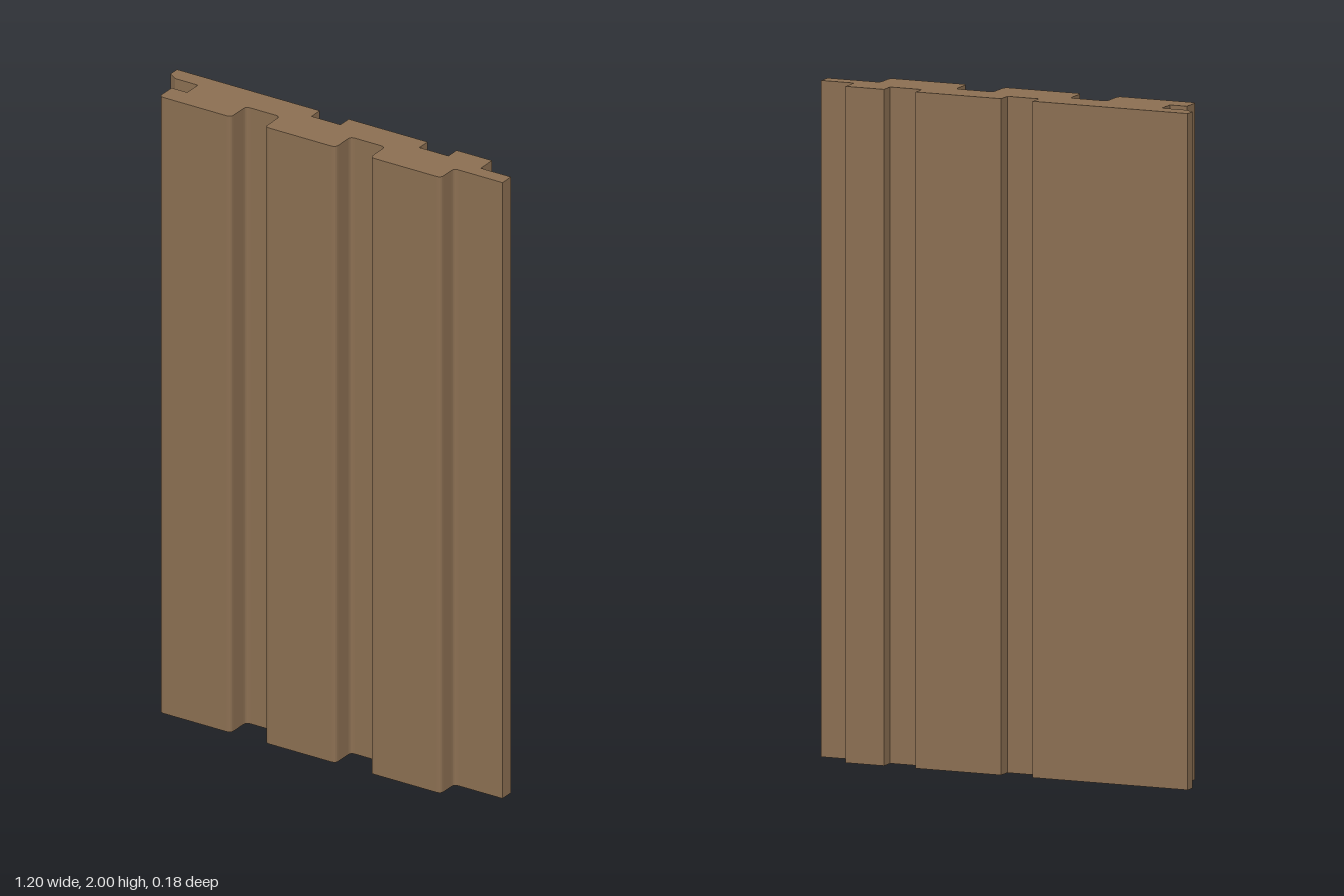
import * as THREE from 'three';

export function createModel() {
  const group = new THREE.Group();
  group.name = 'wallPanel';
  const wood = new THREE.MeshStandardMaterial({ color: 0x8b6f52 });
  wood.name = 'brown wood';

  const R = 0.015, FRONT = 0.087, BACK = -0.089;
  // Cross-section corners: [x, z, rounding radius]
  const profile = [
    // tongue-receiving groove on the right edge
    [-0.6, BACK], [-0.6, -0.055], [-0.572, -0.036], [-0.493, -0.036],
    [-0.493, 0.021], [-0.547, 0.021],
  ];
  // three raised front slats with rounded edges
  const slats = [[-0.547, -0.298, 0.006], [-0.18, 0.066, 0.006], [0.186, 0.432, 0.016]];
  slats.forEach(([x0, x1, floor], i) => {
    if (i > 0) profile.push([x0, 0.006, R]);
    profile.push([x0, FRONT, R], [x1, FRONT, R], [x1, floor, R]);
  });
  // tongue on the left edge
  profile.push([0.6, 0.016], [0.6, -0.029], [0.495, -0.029], [0.495, BACK]);
  // two relief channels in the back
  for (const [x1, x0] of [[0.372, 0.271], [-0.003, -0.104]]) {
    profile.push([x1, BACK], [x1, -0.045], [x0, -0.045], [x0, BACK]);
  }

  // Trace the outline, rounding the marked corners
  const pts = profile.map(([x, z]) => new THREE.Vector2(x, -z));
  const n = pts.length;
  const shape = new THREE.Shape();
  shape.moveTo(pts[0].x, pts[0].y);
  for (let i = 1; i < n; i++) {
    const p = pts[i], r = profile[i][2];
    if (!r) { shape.lineTo(p.x, p.y); continue; }
    const toward = (q) => q.clone().sub(p).setLength(r).add(p);
    const a = toward(pts[i - 1]), b = toward(pts[(i + 1) % n]);
    shape.lineTo(a.x, a.y);
    shape.quadraticCurveTo(p.x, p.y, b.x, b.y);
  }
  shape.closePath();

  // Extrude the section up to full height
  const geometry = new THREE.ExtrudeGeometry(shape, { depth: 2, bevelEnabled: false, curveSegments: 4 });
  geometry.rotateX(-Math.PI / 2);
  const board = new THREE.Mesh(geometry, wood);
  board.name = 'slattedBoard';
  group.add(board);
  return group;
}
